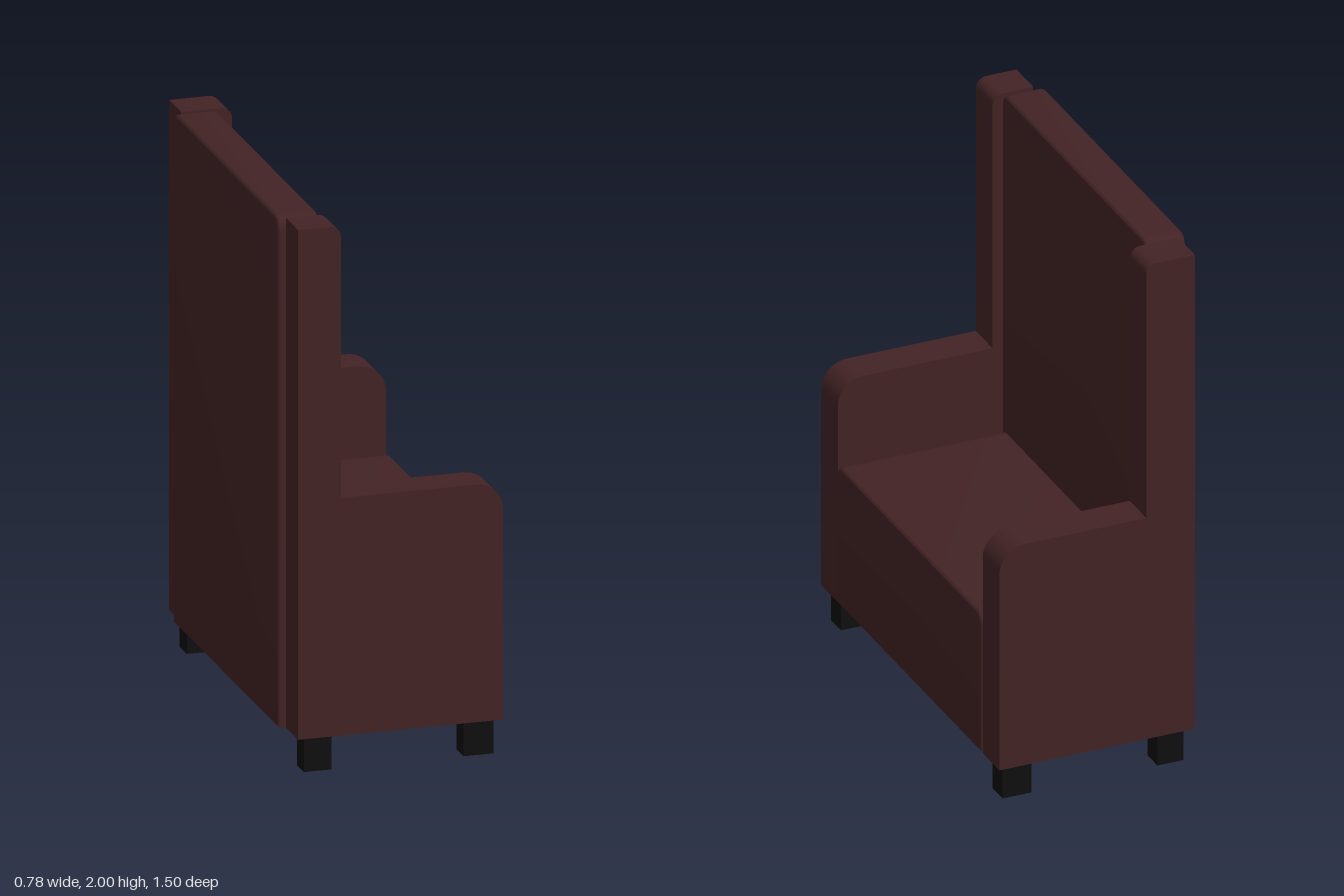
import * as THREE from 'three';
import { toCreasedNormals } from 'three/addons/utils/BufferGeometryUtils.js';

const upholstery = new THREE.MeshStandardMaterial({ color: 0x432325 });
upholstery.name = 'dark maroon upholstery';
const blackWood = new THREE.MeshStandardMaterial({ color: 0x0e0e0e });
blackWood.name = 'black legs';

const BASE = 0.13; // underside of the body

function addMesh(group, name, geometry, material) {
  const mesh = new THREE.Mesh(geometry, material);
  mesh.name = name;
  group.add(mesh);
  return mesh;
}

// Extrusion with a soft edge that stays inside the given outline and depth
function softExtrude(shape, depth, bevel) {
  const geometry = new THREE.ExtrudeGeometry(shape, {
    depth: depth - 2 * bevel, bevelEnabled: true, bevelThickness: bevel,
    bevelSize: bevel, bevelOffset: -bevel, bevelSegments: 3, curveSegments: 8,
  });
  geometry.translate(0, 0, bevel);
  return toCreasedNormals(geometry, 0.6);
}

// Cushion across the width with rounded upper corners, running from x0 to x1
function cushion(x0, x1, top, radius, bevel) {
  const w = 0.61;
  const s = new THREE.Shape();
  s.moveTo(-w, BASE);
  s.lineTo(w, BASE);
  s.lineTo(w, top - radius);
  s.quadraticCurveTo(w, top, w - radius, top);
  s.lineTo(-w + radius, top);
  s.quadraticCurveTo(-w, top, -w, top - radius);
  s.closePath();
  return softExtrude(s, x1 - x0, bevel).rotateY(Math.PI / 2).translate(x0, 0, 0);
}

// Arm and tall wing in one outline, wingFront is the front edge of the wing
function armSide(wingFront) {
  const back = -0.36, front = 0.385, top = 1.995, armTop = 1.0, r = 0.1, wr = 0.04;
  const s = new THREE.Shape();
  s.moveTo(back, BASE);
  s.lineTo(front, BASE);
  s.lineTo(front, armTop - r);
  s.absarc(front - r, armTop - r, r, 0, Math.PI / 2, false);
  s.lineTo(wingFront, armTop);
  s.lineTo(wingFront, top - wr);
  s.absarc(wingFront - wr, top - wr, wr, 0, Math.PI / 2, false);
  s.lineTo(back, top);
  s.closePath();
  const geometry = new THREE.ExtrudeGeometry(s, { depth: 0.14, bevelEnabled: false, curveSegments: 10 });
  return toCreasedNormals(geometry, 0.6);
}

export function createModel() {
  const group = new THREE.Group();
  group.name = 'highBackBench';

  // Seat and backrest
  addMesh(group, 'seat', cushion(-0.3, 0.39, 0.677, 0.05, 0.012), upholstery);
  addMesh(group, 'backrest', cushion(-0.39, -0.24, 2.0, 0.05, 0.012), upholstery);

  // Arms with wings; one wing is slightly deeper
  addMesh(group, 'armNear', armSide(-0.205), upholstery).position.z = 0.61;
  addMesh(group, 'armFar', armSide(-0.175), upholstery).position.z = -0.75;

  // Four block legs
  for (const z of [-0.68, 0.68]) {
    for (const [x, name] of [[-0.28, 'backLeg'], [0.305, 'frontLeg']]) {
      const width = name === 'backLeg' ? 0.1 : 0.11;
      addMesh(group, name, new THREE.BoxGeometry(width, BASE + 0.01, 0.083), blackWood)
        .position.set(x, (BASE + 0.01) / 2, z);
    }
  }
  return group;
}
